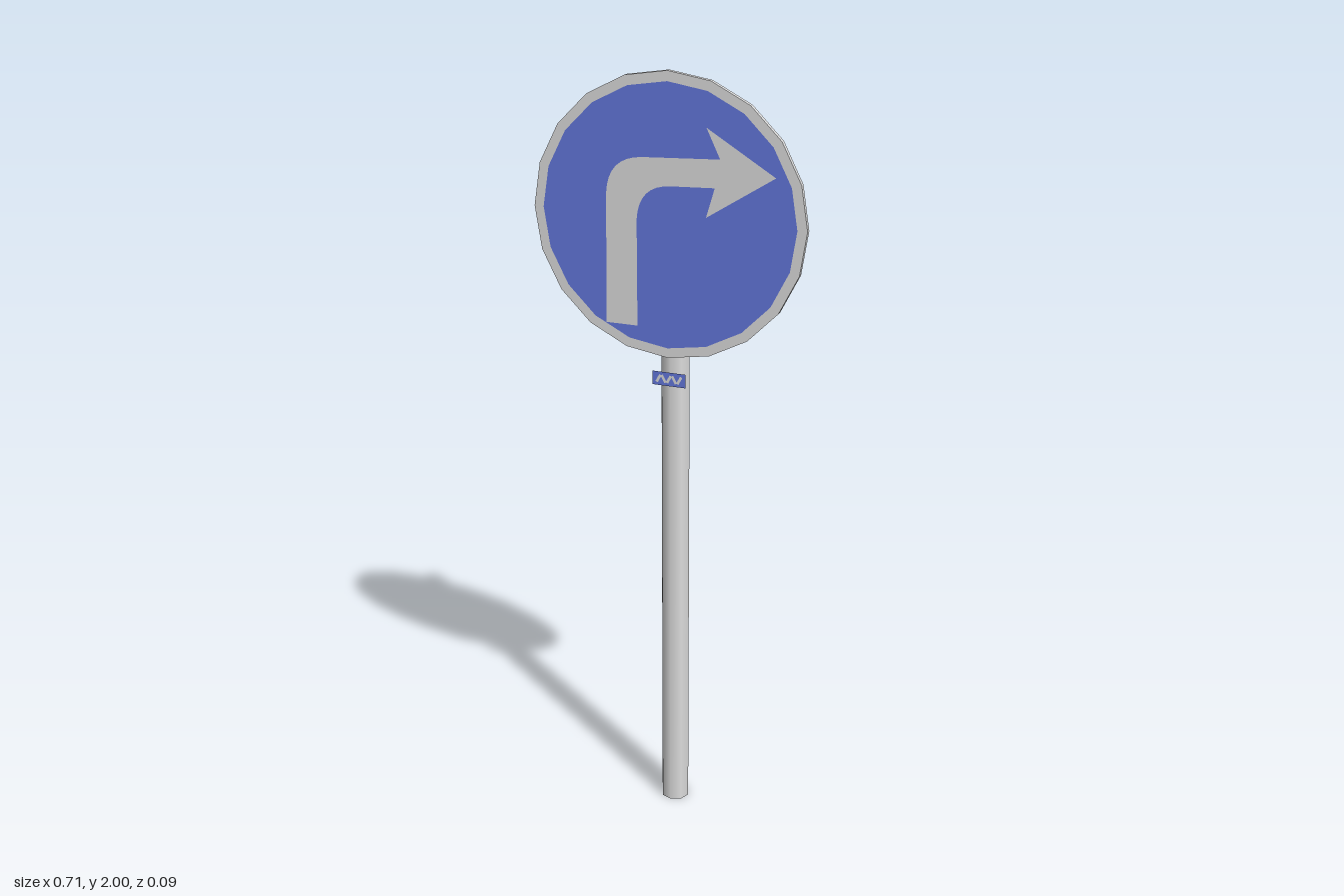
import * as THREE from 'three';

export function createModel() {
  const model = new THREE.Group();
  const grey = new THREE.MeshStandardMaterial({ color: 0xdcdcdc });
  grey.name = 'pale grey metal';
  const blue = new THREE.MeshStandardMaterial({ color: 0x6377dd });
  blue.name = 'sign blue';
  const blueSheet = new THREE.MeshStandardMaterial({ color: 0x6377dd, side: THREE.DoubleSide });
  blueSheet.name = 'sign blue sheet';

  const add = (name, geometry, material, x, y, z) => {
    const mesh = new THREE.Mesh(geometry, material);
    mesh.name = name;
    mesh.position.set(x, y, z);
    model.add(mesh);
    return mesh;
  };

  // Eight-sided post
  add('post', new THREE.CylinderGeometry(0.038, 0.038, 1.905, 8), grey, 0, 0.9525, -0.014);

  // Twenty-sided sign plate with a blue face inside a grey rim
  const signY = 1.645;
  add('signPlate', new THREE.CylinderGeometry(0.355, 0.355, 0.013, 20).rotateX(Math.PI / 2),
    grey, 0, signY, 0.0335);
  add('signFace', new THREE.CircleGeometry(0.33, 20), blue, 0, signY, 0.0407);

  // Bent arrow: shaft, rounded corner and swept head
  const arrow = new THREE.Shape();
  arrow.moveTo(-0.164, 1.365);
  arrow.lineTo(-0.08, 1.365);
  arrow.lineTo(-0.08, 1.635);
  arrow.quadraticCurveTo(-0.075, 1.722, 0.01, 1.725);
  arrow.lineTo(0.122, 1.73);
  arrow.lineTo(0.1, 1.656);
  arrow.lineTo(0.275, 1.767);
  arrow.lineTo(0.1, 1.873);
  arrow.lineTo(0.135, 1.8);
  arrow.lineTo(-0.064, 1.79);
  arrow.quadraticCurveTo(-0.155, 1.785, -0.16, 1.695);
  add('arrow', new THREE.ShapeGeometry(arrow, 8), grey, 0, 0, 0.0415);

  // Small tag on the post, with pale slanted marks
  const tagY = 1.23;
  add('tag', new THREE.PlaneGeometry(0.09, 0.036), blueSheet, 0, tagY, 0.031);
  for (let i = 0; i < 5; i++) {
    const mark = add('tagMark', new THREE.PlaneGeometry(0.007, 0.022), grey,
      (i - 2) * 0.014, tagY, 0.0318);
    mark.rotation.z = i % 2 ? 0.5 : -0.5;
  }

  return model;
}
